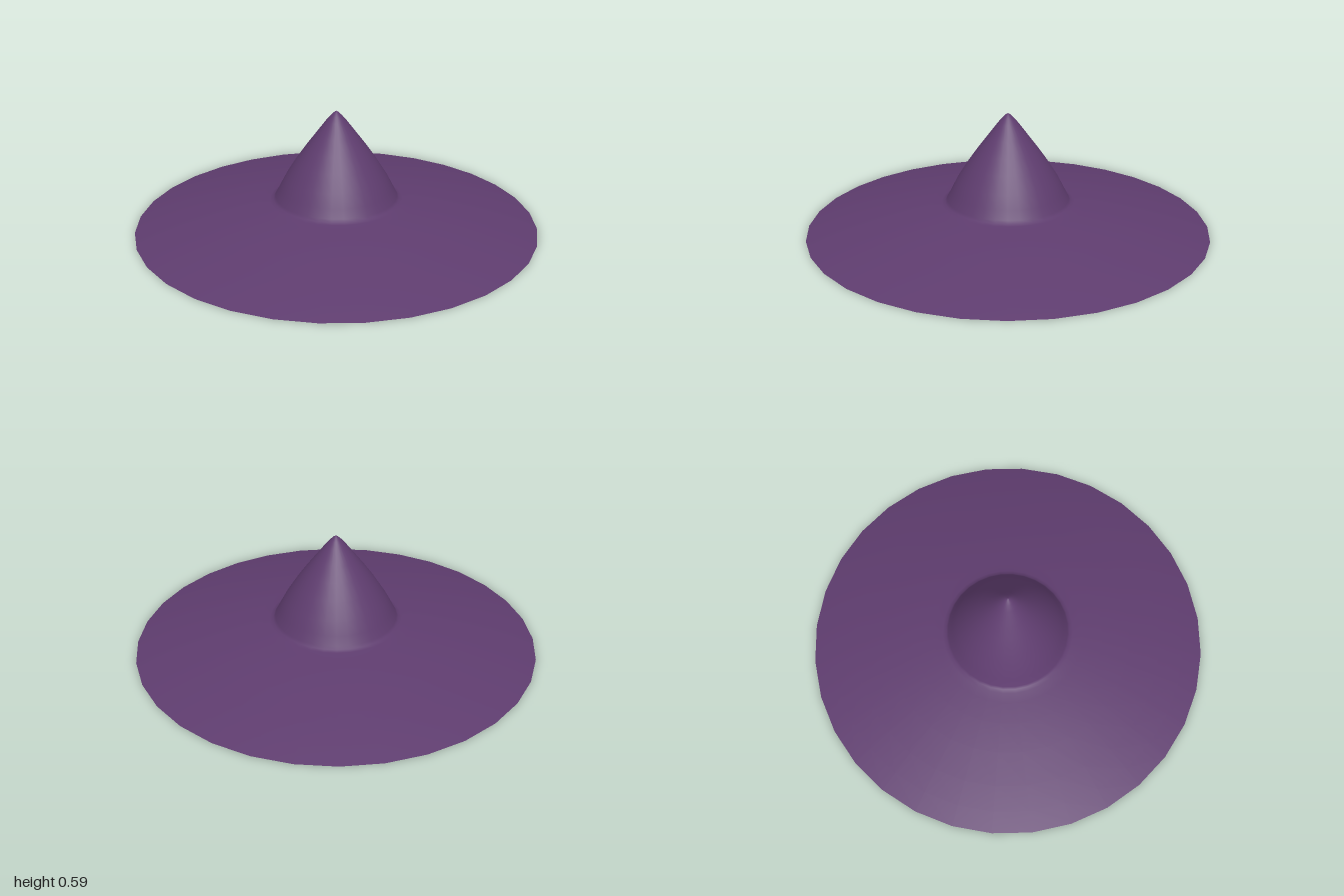
import * as THREE from 'three';

const SEGMENTS = 32;

export function createModel() {
  const hat = new THREE.Group();
  hat.name = 'pointedHat';
  const felt = new THREE.MeshStandardMaterial({ color: 0x5e3c6e, side: THREE.DoubleSide });

  // Revolve a [radius, height] profile into a named part
  const revolve = (name, profile) => {
    const points = profile.map(([r, y]) => new THREE.Vector2(r, y));
    const mesh = new THREE.Mesh(new THREE.LatheGeometry(points, SEGMENTS), felt);
    mesh.name = name;
    hat.add(mesh);
  };

  // Upper surface: drooping brim, tight fillet, bulging cone
  revolve('brimAndCrown', [
    [1, 0], [0.9, 0.028], [0.78, 0.056], [0.62, 0.091], [0.48, 0.116],
    [0.38, 0.13], [0.33, 0.137], [0.312, 0.143], [0.302, 0.156],
    [0.28, 0.2], [0.25, 0.258], [0.2, 0.338], [0.15, 0.41],
    [0.1, 0.477], [0.05, 0.544], [0.028, 0.57], [0.012, 0.586], [0, 0.594],
  ]);

  // Underside of the brim, from the head opening out to the rim
  revolve('brimUnderside', [
    [0.262, 0.125], [0.38, 0.113], [0.48, 0.1], [0.62, 0.076],
    [0.78, 0.045], [0.9, 0.02], [1, 0],
  ]);

  // Inside of the crown, from the tip down to the head opening
  revolve('crownLining', [
    [0, 0.54], [0.04, 0.505], [0.09, 0.44], [0.14, 0.37],
    [0.19, 0.285], [0.23, 0.205], [0.262, 0.125],
  ]);

  return hat;
}
